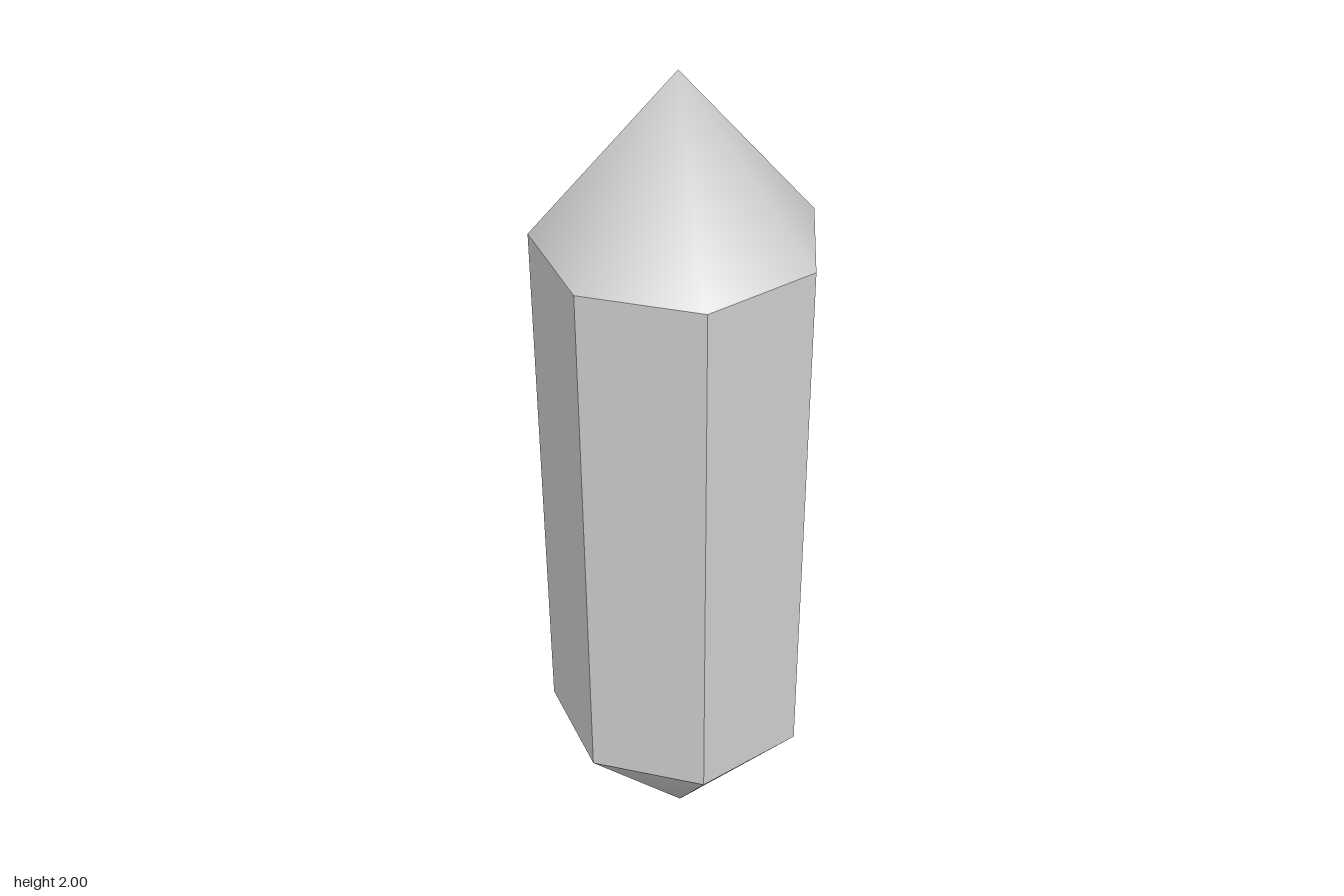
import * as THREE from 'three';
import { mergeVertices } from 'three/addons/utils/BufferGeometryUtils.js';

const SIDES = 7;
const RADIUS = 0.3093;
const CENTER_X = -0.0155; // a heptagon's bounds are off its axis
const TIP = 0.364;
const START = Math.PI / 2; // one corner points to +x

// Seven-sided point whose faces share their corners, so the shading is smooth
function tipGeometry() {
  const geo = new THREE.ConeGeometry(RADIUS, TIP, SIDES, 1, true, START);
  geo.deleteAttribute('uv');
  geo.deleteAttribute('normal');
  const merged = mergeVertices(geo, 1e-4);
  merged.computeVertexNormals();
  return merged;
}

export function createModel() {
  const model = new THREE.Group();
  model.name = 'crystal';
  const smooth = new THREE.MeshStandardMaterial({ color: 0xcccccc });
  const faceted = new THREE.MeshStandardMaterial({ color: 0xcccccc, flatShading: true });

  // Prism with flat sides
  const body = new THREE.Mesh(
    new THREE.CylinderGeometry(RADIUS, RADIUS, 2 - 2 * TIP, SIDES, 1, true, START), faceted);
  body.name = 'crystalBody';
  body.position.set(CENTER_X, 1, 0);
  model.add(body);

  // Pointed ends, the lower one turned over about the x axis
  for (const [name, y, turn] of [['upperTip', 2 - TIP / 2, 0], ['lowerTip', TIP / 2, Math.PI]]) {
    const tip = new THREE.Mesh(tipGeometry(), smooth);
    tip.name = name;
    tip.position.set(CENTER_X, y, 0);
    tip.rotation.x = turn;
    model.add(tip);
  }
  return model;
}
